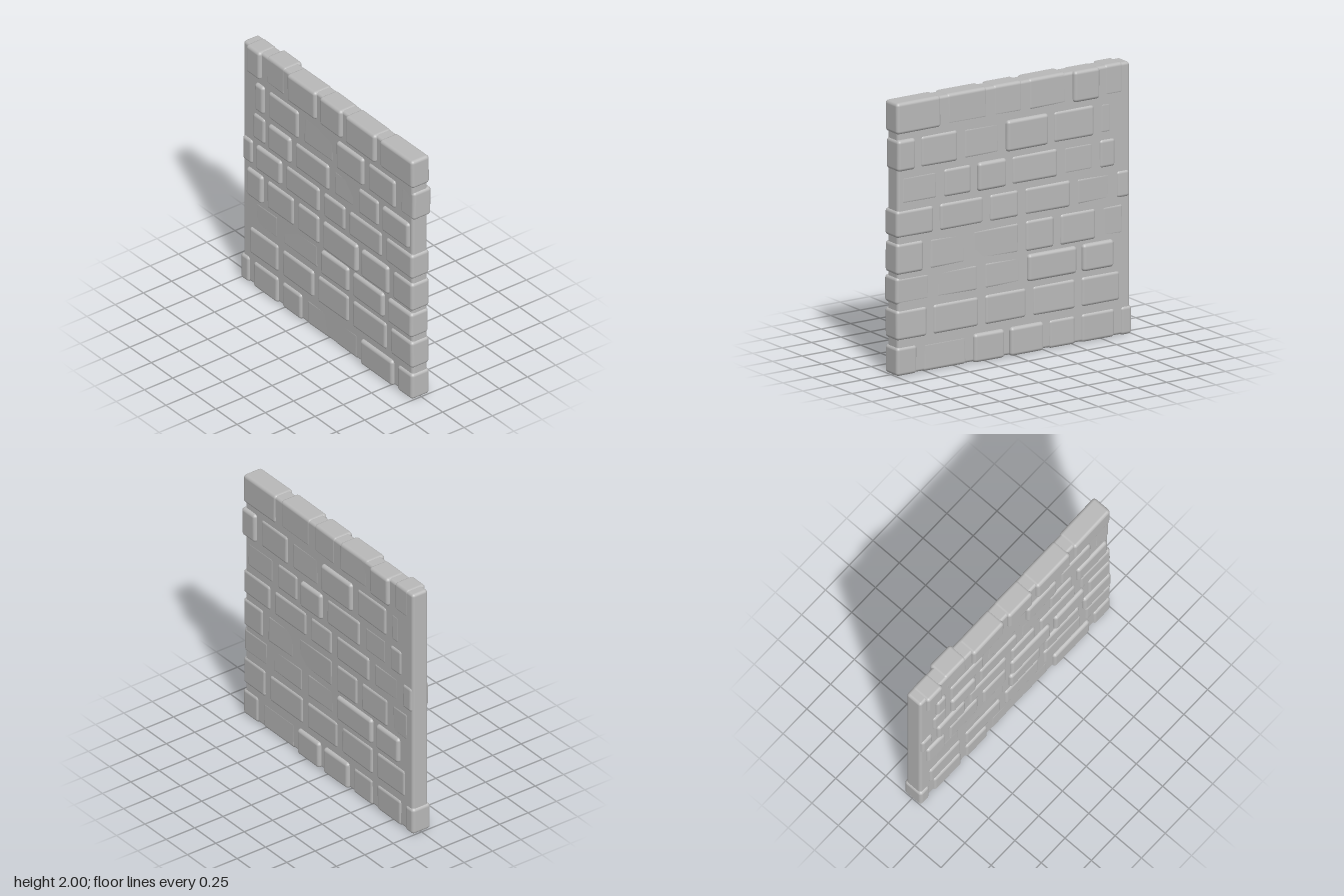
import * as THREE from 'three';
import { RoundedBoxGeometry } from 'three/addons/geometries/RoundedBoxGeometry.js';

const JOINT = 0.05; // width of the upright mortar joints
const DEPTH = 0.16; // brick depth through the wall

// Courses from top to bottom: height range, joint centres along x,
// and which bricks stand proud of, or sit back from, the front
const COURSES = [
  { y: [1.77, 2], joints: [-0.955, -0.745, -0.475, -0.1, 0.2, 0.595, 1.025], proud: [0, 2, 3, 4], sunk: [1] },
  { y: [1.5, 1.73], joints: [-0.855, -0.705, -0.31, 0.095, 0.455, 0.82, 1.025], proud: [0, 3], sunk: [2, 5] },
  { y: [1.25, 1.46], joints: [-0.885, -0.7, -0.395, 0.045, 0.34, 0.625, 0.985], proud: [1, 5], sunk: [3] },
  { y: [1.01, 1.21], joints: [-1.005, -0.845, -0.505, -0.065, 0.235, 0.66, 1.025], proud: [1], sunk: [] },
  { y: [0.74, 0.97], joints: [-0.955, -0.72, -0.365, -0.07, 0.385, 0.745, 1.025], proud: [0, 3, 4], sunk: [] },
  { y: [0.52, 0.72], joints: [-0.865, -0.55, -0.085, 0.28, 0.69, 1.025], proud: [2, 3, 4], sunk: [0, 1] },
  { y: [0.26, 0.48], joints: [-0.925, -0.545, -0.13, 0.275, 0.715, 1.025], proud: [], sunk: [] },
  { y: [0, 0.21], joints: [-1.025, -0.88, -0.545, -0.27, 0.065, 0.375, 0.8, 1.025], proud: [5], sunk: [3, 4] },
];

// Rounded brick whose faces lean slightly in depth
function brickGeometry(width, height, leanX, leanY) {
  return new RoundedBoxGeometry(width, height, DEPTH, 4, 0.025).applyMatrix4(
    new THREE.Matrix4().set(1, 0, 0, 0, 0, 1, 0, 0, leanX, leanY, 1, 0, 0, 0, 0, 1));
}

export function createModel() {
  const wall = new THREE.Group();
  wall.name = 'brickWall';
  const stone = new THREE.MeshStandardMaterial({ color: 0xb8b8b8 });
  stone.name = 'greyStone';

  // Mortar slab that the bricks pass through
  const mortar = new THREE.Mesh(new RoundedBoxGeometry(1.975, 1.99, 0.134, 4, 0.022), stone);
  mortar.name = 'mortarSlab';
  mortar.position.y = 1;
  wall.add(mortar);

  // Courses of bricks, each brick filling the space between two joints
  COURSES.forEach(({ y: [bottom, top], joints, proud, sunk }, row) => {
    const course = new THREE.Group();
    course.name = `brickCourse${row + 1}`;
    for (let i = 0; i < joints.length - 1; i++) {
      const width = joints[i + 1] - joints[i] - JOINT;
      const leanX = 0.012 * Math.sin(row * 5.1 + i * 2.3);
      const leanY = 0.012 * Math.sin(row * 2.7 + i * 4.1);
      const brick = new THREE.Mesh(brickGeometry(width, top - bottom, leanX, leanY), stone);
      brick.name = 'brick';
      const shift = proud.includes(i) ? 0.011 : sunk.includes(i) ? -0.012 : 0.003;
      brick.position.set((joints[i] + joints[i + 1]) / 2, (bottom + top) / 2, shift);
      course.add(brick);
    }
    wall.add(course);
  });
  return wall;
}
